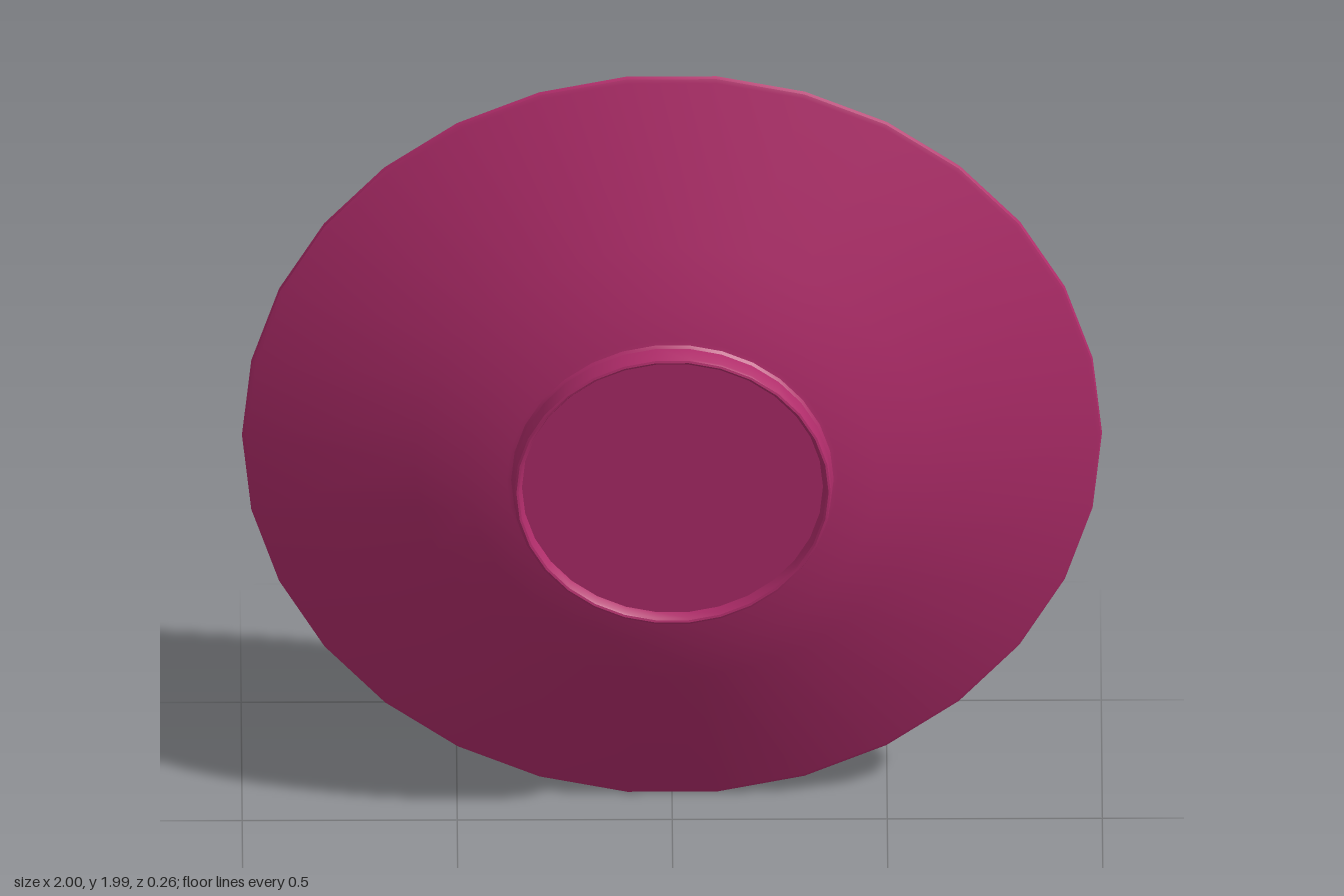
import * as THREE from 'three';
import { toCreasedNormals } from 'three/addons/utils/BufferGeometryUtils.js';

const SEGMENTS = 30;

export function createModel() {
  const group = new THREE.Group();
  group.name = 'plate';

  // Closed cross-section as [radius, depth], from the centre of the eating side to the centre of the underside
  const profile = [
    // eating side: flat well, sloped well wall, wide border
    [0, -0.03], [0.65, -0.03], [0.7, -0.063], [0.98, -0.128],
    // rounded rim
    [0.987, -0.13], [0.995, -0.128], [1, -0.121], [0.997, -0.113], [0.988, -0.108],
    // underside
    [0.6, 0], [0.48, 0.055], [0.385, 0.07],
    // foot ring with fillet, rounded lip and shallow recess
    [0.375, 0.073], [0.37, 0.08], [0.37, 0.123], [0.368, 0.128], [0.363, 0.13],
    [0.358, 0.128], [0.355, 0.123], [0.35, 0.105], [0, 0.105],
  ].map(([r, d]) => new THREE.Vector2(r, d));

  const lathe = new THREE.LatheGeometry(profile, SEGMENTS, Math.PI / 2);
  lathe.rotateX(Math.PI / 2); // underside faces the front
  const geometry = toCreasedNormals(lathe, 0.5);

  const dish = new THREE.Mesh(geometry, new THREE.MeshStandardMaterial({ color: 0xb02c6a }));
  dish.name = 'dish';
  // Stand the disc on its lowest flat side
  dish.position.y = Math.cos(Math.PI / SEGMENTS);
  group.add(dish);
  return group;
}
